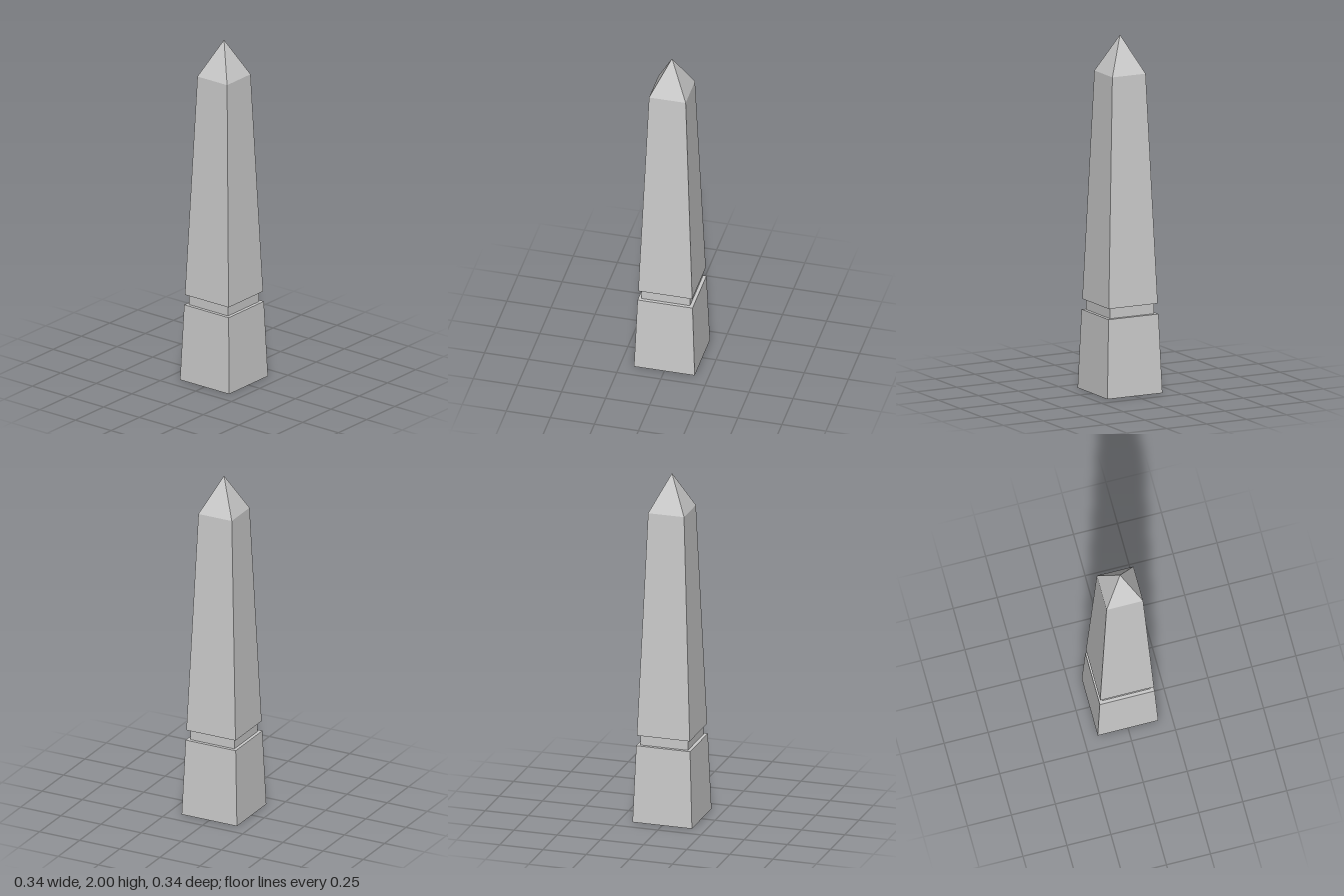
import * as THREE from 'three';

const material = new THREE.MeshStandardMaterial({ color: 0xcccccc, flatShading: true });

// Square, tapered block given by its half widths and its bottom and top heights
function taperedBlock(name, halfBottom, halfTop, y0, y1) {
  const geometry = new THREE.CylinderGeometry(
    halfTop * Math.SQRT2, halfBottom * Math.SQRT2, y1 - y0, 4, 1, false, Math.PI / 4);
  geometry.translate(0, (y0 + y1) / 2, 0);
  const mesh = new THREE.Mesh(geometry, material);
  mesh.name = name;
  return mesh;
}

export function createModel() {
  const obelisk = new THREE.Group();
  obelisk.name = 'obelisk';
  obelisk.add(
    taperedBlock('plinth', 0.172, 0.156, 0, 0.443),
    // Recessed band between plinth and shaft
    taperedBlock('neck', 0.137, 0.137, 0.443, 0.502),
    taperedBlock('shaft', 0.153, 0.104, 0.502, 1.79),
    // Pyramid tip
    taperedBlock('cap', 0.104, 0, 1.79, 2),
  );
  return obelisk;
}
